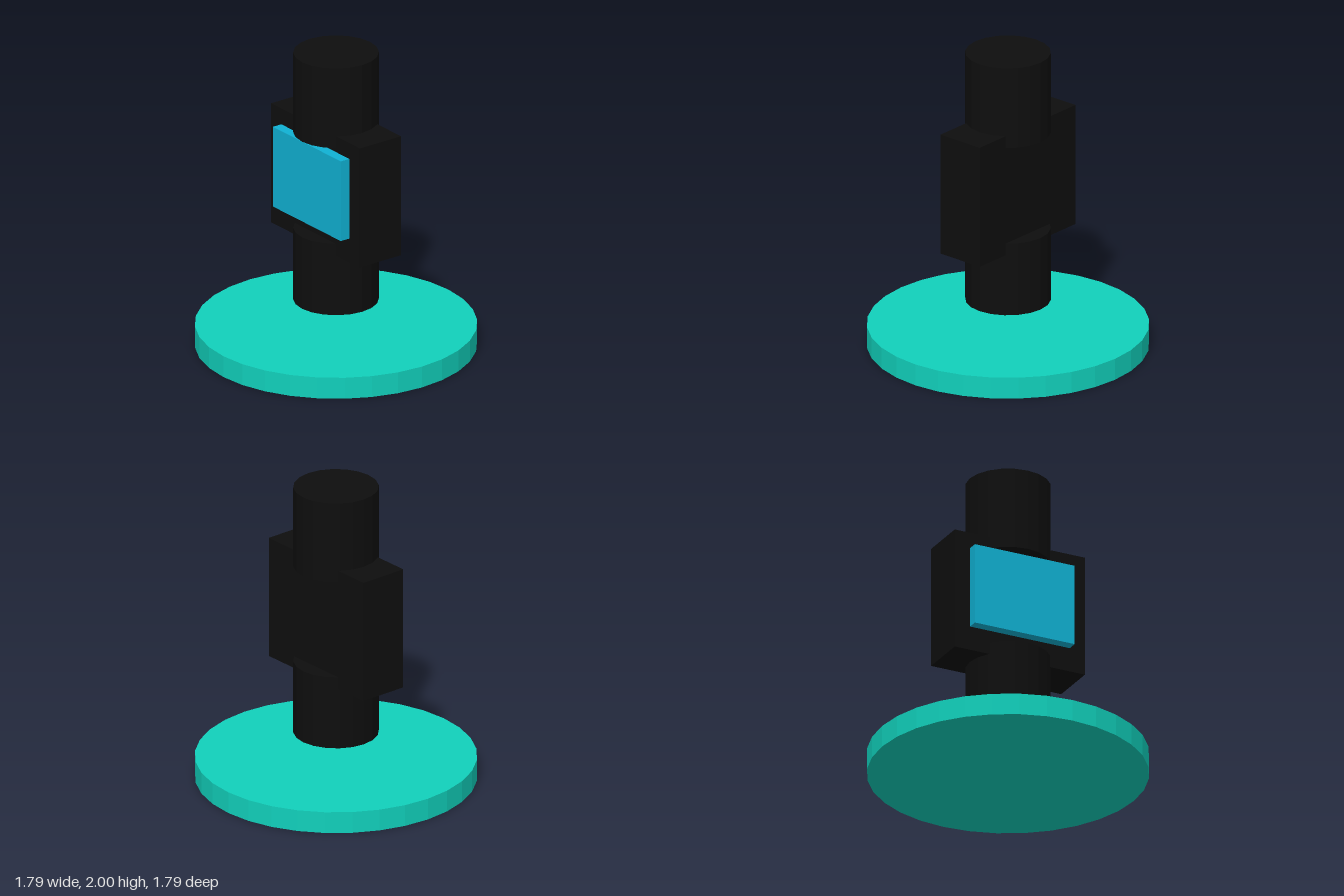
import * as THREE from 'three';

const flat = (name, color) => {
  const m = new THREE.MeshStandardMaterial({ color, flatShading: true });
  m.name = name;
  return m;
};

export function createModel() {
  const model = new THREE.Group();
  model.name = 'watchOnStand';

  const teal = flat('teal', 0x11d0bb);
  const black = flat('black', 0x0e0e0e);
  const blue = flat('blue', 0x10b1d3);

  const add = (name, geometry, material, y, z = 0) => {
    const mesh = new THREE.Mesh(geometry, material);
    mesh.name = name;
    mesh.position.set(0, y, z);
    model.add(mesh);
  };
  // upright cylinder between two heights
  const drum = (name, material, radius, y0, y1, sides) =>
    add(name, new THREE.CylinderGeometry(radius, radius, y1 - y0, sides), material, (y0 + y1) / 2);

  // round base, with the watch floating above it
  drum('base', teal, 0.893, 0, 0.143, 32);

  // strap halves, overlapping the case
  drum('lowerStrap', black, 0.271, 0.31, 0.8, 20);
  drum('upperStrap', black, 0.271, 1.455, 2, 20);

  // case and raised screen
  add('case', new THREE.BoxGeometry(0.924, 0.815, 0.328), black, 1.128);
  add('screen', new THREE.BoxGeometry(0.708, 0.546, 0.08), blue, 1.155, 0.192);

  return model;
}
